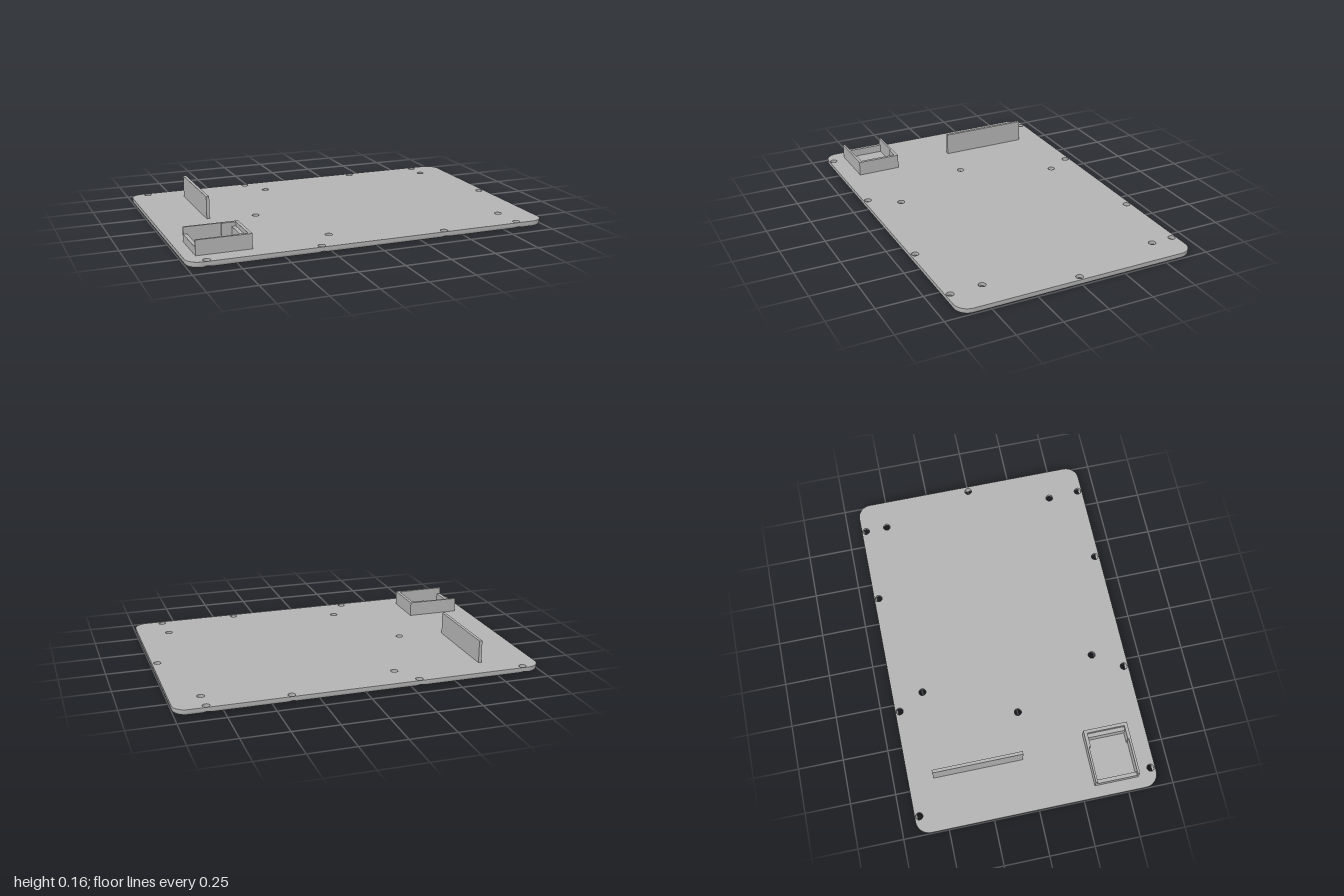
import * as THREE from 'three';

const W = 1, D = 0.67, T = 0.032, CORNER = 0.075, FILLET = 0.015;
const HOLE = 0.02, SINK = 0.034, SINK_DEPTH = 0.014;
const FOOT = 0.065, FOOT_DEPTH = 0.006;
const holes = [
  ...[-0.9, -0.3, 0.395, 0.835].flatMap(x => [[x, -0.645], [x, 0.645]]),
  [0.97, 0], [-0.44, 0], [-0.215, -0.5], [0.837, -0.52], [-0.197, 0.483], [0.825, 0.468],
].map(([x, z]) => new THREE.Vector2(x, z));

// inset of the rounded lower edge at height y
const inset = y => y < FILLET ? FILLET - Math.sqrt(FILLET ** 2 - (FILLET - y) ** 2) : 0;

// dense rounded rectangle, inset by d
function outline(d) {
  const r = CORNER - d, w = W - d, h = D - d;
  const s = new THREE.Shape();
  s.absarc(w - r, h - r, r, 0, Math.PI / 2);
  s.absarc(r - w, h - r, r, Math.PI / 2, Math.PI);
  s.absarc(r - w, r - h, r, Math.PI, Math.PI * 1.5);
  s.absarc(w - r, r - h, r, Math.PI * 1.5, Math.PI * 2);
  s.closePath();
  return s.getSpacedPoints(1000).slice(0, -1);
}

const circlePath = (x, y, r) => new THREE.Path().absarc(x, y, r, 0, Math.PI * 2);

// strip surface between rows of 3D points, closed around
function loft(rows) {
  const n = rows[0].length, index = [];
  for (let j = 0; j < rows.length - 1; j++) for (let i = 0; i < n; i++) {
    const a = j * n + i, b = j * n + (i + 1) % n;
    index.push(a, a + n, b, b, a + n, b + n);
  }
  const g = new THREE.BufferGeometry().setFromPoints(rows.flat());
  g.setIndex(index);
  g.computeVertexNormals();
  return g;
}

// flat cap from a shape in x,z at height y, facing down
const downCap = (shape, y) => new THREE.ShapeGeometry(shape, 24).rotateX(Math.PI / 2).translate(0, y, 0);

export function createModel() {
  const grey = new THREE.MeshStandardMaterial({ color: 0xb3b3b3, side: THREE.DoubleSide });
  grey.name = 'plain grey';
  const model = new THREE.Group();
  model.name = 'enclosureCover';
  const plate = new THREE.Group();
  plate.name = 'plate';
  model.add(plate);
  const add = (parent, name, geo) => {
    const m = new THREE.Mesh(geo, grey);
    m.name = name;
    parent.add(m);
    return m;
  };

  // top face with the screw holes
  const top = new THREE.Shape(outline(0));
  holes.forEach(h => top.holes.push(circlePath(h.x, -h.y, HOLE)));
  add(plate, 'topFace', new THREE.ShapeGeometry(top, 24).rotateX(-Math.PI / 2).translate(0, T, 0));

  // side wall with rounded lower edge, nicked where countersinks reach it
  const rim = outline(0);
  const rows = [0, 0.06, 0.16, 0.3, 0.5, 1].map(t => rim.map(p => {
    const core = new THREE.Vector2(
      THREE.MathUtils.clamp(p.x, CORNER - W, W - CORNER),
      THREE.MathUtils.clamp(p.y, CORNER - D, D - CORNER));
    const n = p.clone().sub(core).normalize();
    const near = Math.min(...holes.map(h => h.distanceTo(p)));
    const y0 = Math.max(0, (SINK - near) * SINK_DEPTH / (SINK - HOLE));
    const y = y0 + (T - y0) * t, d = inset(y);
    return new THREE.Vector3(p.x - n.x * d, y, p.y - n.y * d);
  }));
  add(plate, 'rim', loft(rows));

  // bottom face, notched at the edge countersinks
  const atEdge = h => Math.abs(h.y) > 0.6 || Math.abs(h.x) > 0.95;
  const bottom = new THREE.Shape(outline(FILLET).map(p => {
    const h = holes.find(q => atEdge(q) && q.distanceTo(p) < SINK);
    if (!h) return p;
    return Math.abs(h.y) > 0.6
      ? new THREE.Vector2(p.x, h.y - Math.sign(h.y) * Math.sqrt(SINK ** 2 - (p.x - h.x) ** 2))
      : new THREE.Vector2(h.x - Math.sign(h.x) * Math.sqrt(SINK ** 2 - (p.y - h.y) ** 2), p.y);
  }));
  holes.filter(h => !atEdge(h)).forEach(h => bottom.holes.push(circlePath(h.x, h.y, SINK)));

  // round foot recesses, kept clear of neighbouring countersinks
  for (const sx of [-1, 1]) for (const sz of [-1, 1]) {
    const ring = [];
    for (let i = 0; i < 64; i++) {
      const a = i / 64 * Math.PI * 2, p = new THREE.Vector2();
      let r = FOOT;
      do {
        p.set(sx * 0.91 + r * Math.cos(a), sz * 0.57 + r * Math.sin(a));
        r -= 0.001;
      } while (r > 0.01 && holes.some(h => h.distanceTo(p) < SINK + 0.003));
      ring.push(p);
    }
    bottom.holes.push(new THREE.Path(ring));
    add(plate, 'footRecessFloor', downCap(new THREE.Shape(ring), FOOT_DEPTH));
    add(plate, 'footRecessWall', loft([0, FOOT_DEPTH].map(y => ring.map(p => new THREE.Vector3(p.x, y, p.y)))));
  }
  add(plate, 'bottomFace', downCap(bottom, 0));

  // countersunk screw holes, trimmed to the plate edge
  for (const h of holes) {
    const profile = [[SINK, 0], [HOLE, SINK_DEPTH], [HOLE, T]].map(p => new THREE.Vector2(...p));
    const g = new THREE.LatheGeometry(profile, 32).translate(h.x, 0, h.y);
    const pos = g.attributes.position;
    for (let i = 0; i < pos.count; i++) {
      const d = inset(pos.getY(i)) + 0.001;
      pos.setX(i, THREE.MathUtils.clamp(pos.getX(i), d - W, W - d));
      pos.setZ(i, THREE.MathUtils.clamp(pos.getZ(i), d - D, D - d));
    }
    const flat = g.toNonIndexed();
    flat.computeVertexNormals();
    add(plate, 'screwHole', flat);
  }

  // upright parts given by their extents, standing on the plate
  const block = (parent, name, x0, x1, z0, z1, y1) => add(parent, name,
    new THREE.BoxGeometry(x1 - x0, y1 - T, z1 - z0)
      .translate((x0 + x1) / 2, (y1 + T) / 2, (z0 + z1) / 2));

  block(model, 'dividerFin', -0.711, -0.694, -0.53, -0.03, 0.157);

  // open-topped holder with stepped walls and a low sill
  const holder = new THREE.Group();
  holder.name = 'holder';
  model.add(holder);
  block(holder, 'backWall', -0.935, -0.735, 0.322, 0.333, 0.113);
  block(holder, 'backWallThick', -0.735, -0.64, 0.322, 0.341, 0.113);
  block(holder, 'frontWall', -0.935, -0.735, 0.555, 0.567, 0.113);
  block(holder, 'frontWallThick', -0.735, -0.64, 0.549, 0.567, 0.113);
  block(holder, 'endWall', -0.658, -0.64, 0.341, 0.549, 0.113);
  block(holder, 'innerLedge', -0.68, -0.658, 0.341, 0.549, 0.09);
  block(holder, 'sill', -0.935, -0.914, 0.333, 0.555, 0.075);
  return model;
}
